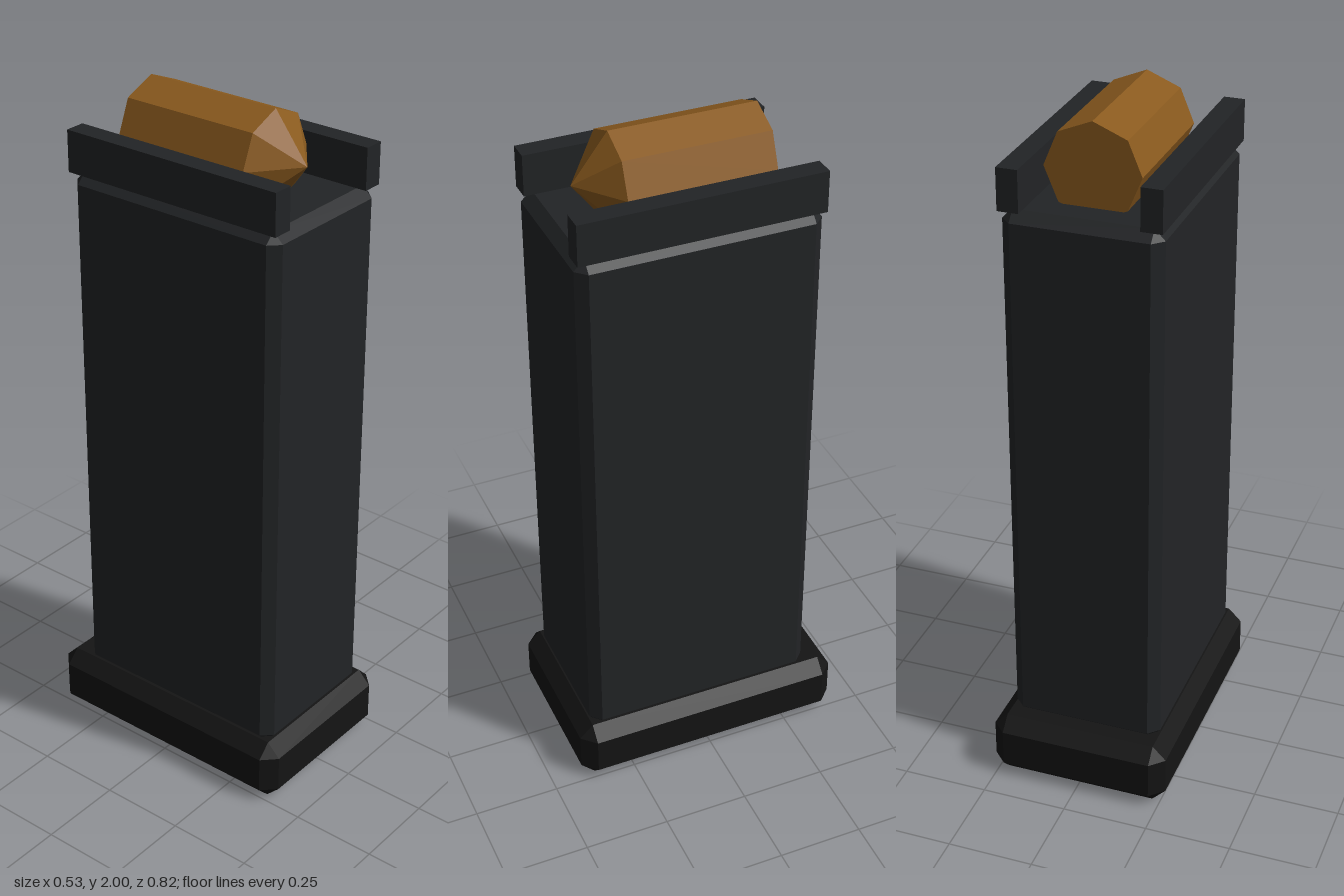
import * as THREE from 'three';
import { ConvexGeometry } from 'three/addons/geometries/ConvexGeometry.js';

const material = (color) => new THREE.MeshStandardMaterial({ color, flatShading: true });

// Box with all edges cut by a single flat bevel
function bevelledBox(w, h, d, b) {
  const points = [];
  for (const sx of [-1, 1]) for (const sy of [-1, 1]) for (const sz of [-1, 1]) {
    const x = w / 2, y = h / 2, z = d / 2;
    points.push(
      new THREE.Vector3(sx * x, sy * (y - b), sz * (z - b)),
      new THREE.Vector3(sx * (x - b), sy * y, sz * (z - b)),
      new THREE.Vector3(sx * (x - b), sy * (y - b), sz * z)
    );
  }
  return new ConvexGeometry(points);
}

export function createModel() {
  const model = new THREE.Group();
  model.name = 'magazine';
  const casing = material(0x222426);
  const rubber = material(0x141414);
  const brass = material(0x8a5a1e);

  const add = (name, geometry, mat, x, y, z, parent = model) => {
    const mesh = new THREE.Mesh(geometry, mat);
    mesh.name = name;
    mesh.position.set(x, y, z);
    parent.add(mesh);
    return mesh;
  };

  // Base plate and tall casing
  add('basePlate', bevelledBox(0.53, 0.19, 0.82, 0.04), rubber, 0, 0.095, 0);
  add('body', bevelledBox(0.446, 1.598, 0.695, 0.03), casing, 0, 0.966, 0.02);

  // Feed lips along both top edges
  for (const [name, side] of [['leftFeedLip', 1], ['rightFeedLip', -1]]) {
    add(name, new THREE.BoxGeometry(0.06, 0.12, 0.695), casing, side * 0.195, 1.825, 0.02);
  }

  // Top cartridge: eight-sided case and pointed tip facing the front
  const cartridge = new THREE.Group();
  cartridge.name = 'cartridge';
  cartridge.position.y = 1.865;
  model.add(cartridge);
  add('case', new THREE.CylinderGeometry(0.135, 0.135, 0.418, 8).rotateX(Math.PI / 2),
    brass, 0, 0, -0.016, cartridge);
  add('tip', new THREE.ConeGeometry(0.135, 0.104, 8, 1, true).rotateX(Math.PI / 2),
    brass, 0, 0, 0.245, cartridge);

  return model;
}
